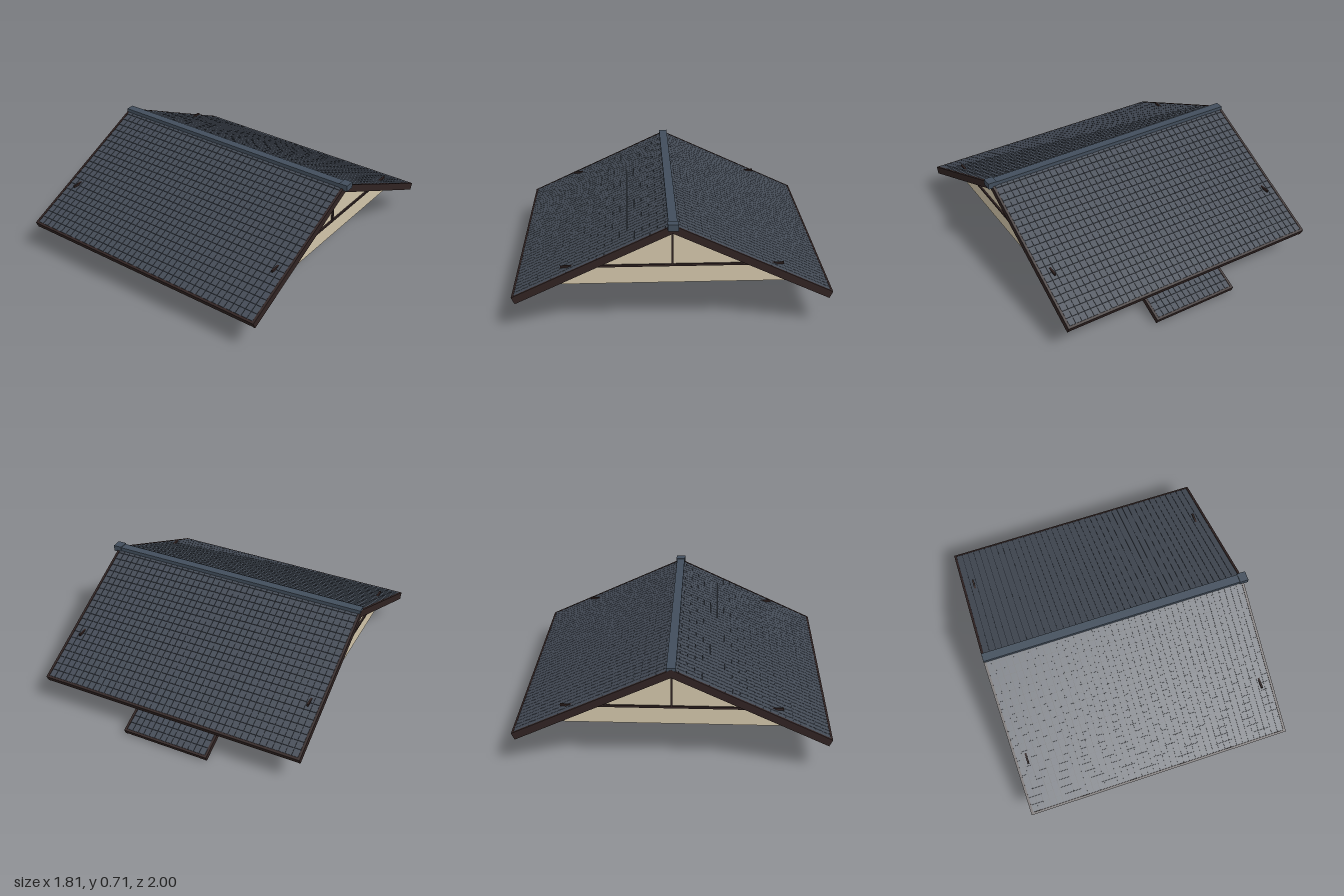
import * as THREE from 'three';
import { mergeGeometries } from 'three/addons/utils/BufferGeometryUtils.js';

const flat = (name, color) => {
  const m = new THREE.MeshStandardMaterial({ color });
  m.name = name;
  return m;
};
const slate = flat('slate', 0x434a55);
const ridgeSlate = flat('ridge slate', 0x424e5c);
const underlay = flat('dark underlay', 0x20242b);
const trim = flat('dark timber', 0x302322);
const deckWood = flat('brown boards', 0x85481f);
const rafterWood = flat('rafter wood', 0x4a2c1a);
const plaster = flat('cream plaster', 0xd2c5aa);

const CX = -0.0135, RIDGE_Z = 0.022, RIDGE_Y = 0.695;
const ANGLE = 0.438, LENGTH = 1.08, WIDTH = 1.785;

// Box geometry given by its minimum and maximum corners
function span(x0, x1, y0, y1, z0, z1) {
  return new THREE.BoxGeometry(x1 - x0, y1 - y0, z1 - z0)
    .translate((x0 + x1) / 2, (y0 + y1) / 2, (z0 + z1) / 2);
}

function add(parent, name, geometries, material) {
  const mesh = new THREE.Mesh(mergeGeometries([geometries].flat()), material);
  mesh.name = name;
  parent.add(mesh);
  return mesh;
}

// One tiled slope: origin on its upper edge, local z runs down the slope, y is its normal
function slope(name, width, length, rows, columns, rafters, thick) {
  const g = new THREE.Group();
  g.name = name;
  const w = width / 2, edge = 0.015, inner = w - edge;

  // Overlapping tiles, each tipped up a little at its lower edge
  const tiles = [];
  const dx = inner * 2 / columns, dz = (length - edge) / rows;
  for (let r = 0; r < rows; r++) {
    for (let c = 0; c < columns; c++) {
      tiles.push(new THREE.BoxGeometry(dx - 0.003, 0.005, dz - 0.002)
        .rotateX(-0.05)
        .translate(-inner + (c + 0.5) * dx, -0.004, (r + 0.5) * dz));
    }
  }
  add(g, 'tiles', tiles, slate);
  add(g, 'underlay', span(-inner, inner, -0.011, -0.005, 0, length - edge), underlay);
  add(g, 'deck', span(-inner, inner, -0.027, -0.011, 0, length - edge), deckWood);

  // Rafters under the boards
  const beams = [];
  for (let i = 0; i < rafters; i++) {
    const x = -inner + 0.006 + (i / (rafters - 1)) * (inner * 2 - 0.012);
    beams.push(span(x - 0.006, x + 0.006, -thick, -0.026, 0, length - 0.005));
  }
  add(g, 'rafters', beams, rafterWood);

  // Side boards and eave board
  add(g, 'bargeBoards', [-1, 1].map(s =>
    new THREE.BoxGeometry(edge, thick, length).translate(s * (w - edge / 2), -thick / 2, length / 2)), trim);
  add(g, 'eaveBoard', span(-inner, inner, -thick + 0.004, 0, length - edge, length), trim);
  return g;
}

export function createModel() {
  const model = new THREE.Group();
  model.name = 'tiledGableRoof';

  // Two main slopes meeting at the ridge
  for (const [name, turn] of [['frontSlope', 0], ['backSlope', Math.PI]]) {
    const side = new THREE.Group();
    side.name = name + 'Side';
    side.position.set(CX, RIDGE_Y, RIDGE_Z);
    side.rotation.y = turn;
    const s = slope(name, WIDTH, LENGTH, 21, 42, 25, 0.048);
    s.rotation.x = ANGLE;
    side.add(s);
    model.add(side);
  }

  // Ridge cap with a block at its left end
  add(model, 'ridgeCap', span(-0.905, 0.86, 0.664, 0.705, RIDGE_Z - 0.028, RIDGE_Z + 0.028), ridgeSlate);
  add(model, 'ridgeEndBlock', span(0.85, 0.907, 0.67, 0.711, RIDGE_Z - 0.032, RIDGE_Z + 0.032), ridgeSlate);

  // Gable walls with a tie beam and king post on the outside
  const half = 0.78, base = 0.28;
  const triangle = new THREE.Shape([
    new THREE.Vector2(-half, base),
    new THREE.Vector2(half, base),
    new THREE.Vector2(0, base + half * Math.tan(ANGLE)),
  ]);
  for (const [name, s] of [['left', 1], ['right', -1]]) {
    const gable = new THREE.ExtrudeGeometry(triangle, { depth: 0.014, bevelEnabled: false })
      .translate(0, 0, -0.007).rotateY(Math.PI / 2)
      .translate(CX + s * 0.8, 0, RIDGE_Z);
    add(model, name + 'Gable', gable, plaster);
    const x = CX + s * 0.812;
    add(model, name + 'GableTruss', [
      span(x - 0.006, x + 0.006, 0.393, 0.407, RIDGE_Z - 0.68, RIDGE_Z + 0.68),
      span(x - 0.006, x + 0.006, 0.4, 0.65, RIDGE_Z - 0.007, RIDGE_Z + 0.007),
    ], trim);
  }

  // Small awning below the back eave
  const awning = new THREE.Group();
  awning.name = 'awning';
  awning.position.set(-0.0155, 0.127, -0.794);
  awning.rotation.y = Math.PI;
  const a = slope('awningSlope', 0.585, 0.222, 4, 14, 9, 0.038);
  a.rotation.x = 0.39;
  awning.add(a);
  model.add(awning);

  // Struts holding the awning
  const struts = [-0.235, 0.205].map(x =>
    new THREE.BoxGeometry(0.012, 0.012, 0.15).rotateX(0.22).translate(x, 0.022, -0.864));
  add(model, 'awningStruts', struts, trim);
  return model;
}
